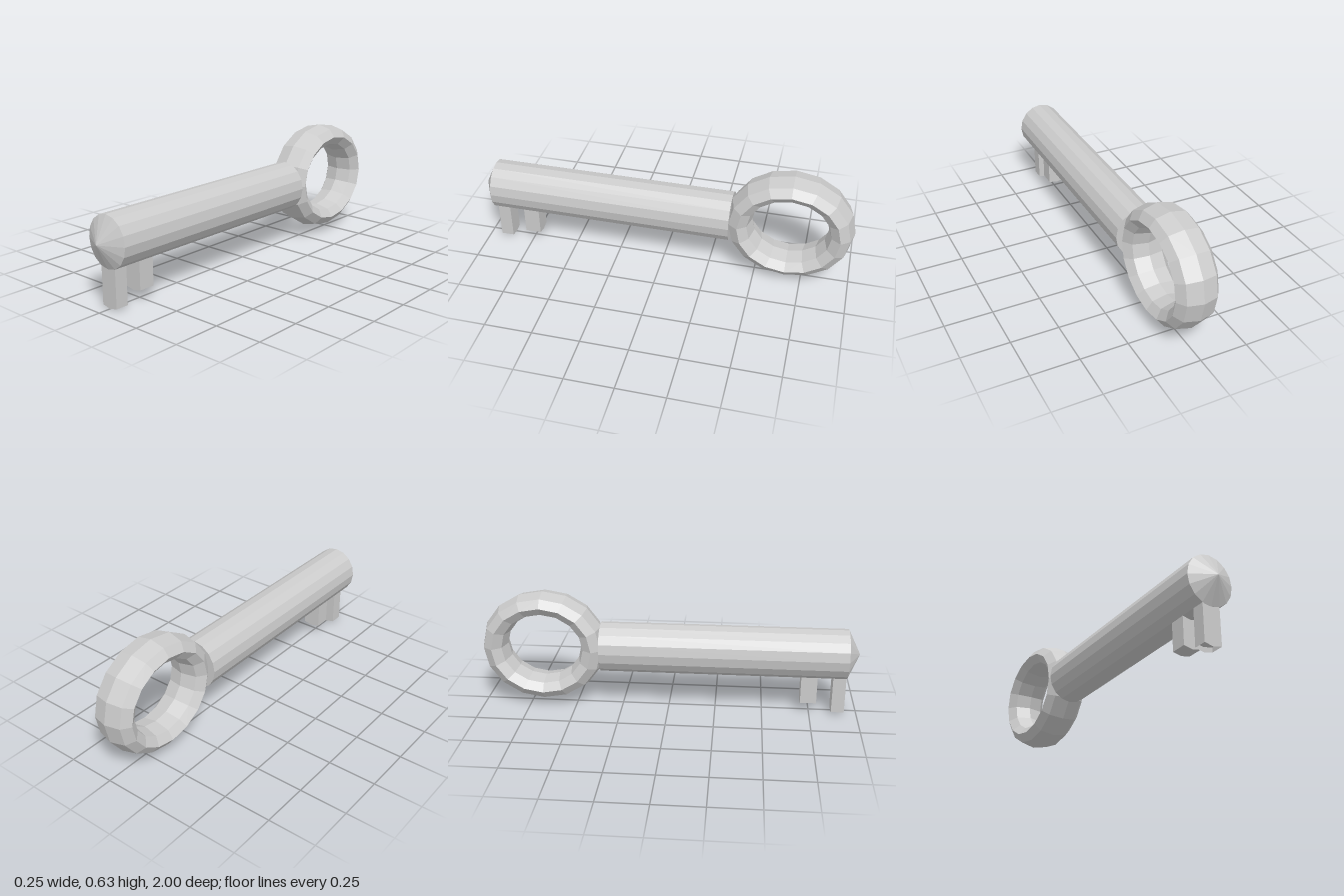
import * as THREE from 'three';

const AXIS_Y = 0.33;
const HALF_W = 0.047; // half width of the teeth
const V_DROP = 0.01;  // depth of the shallow V on their lower ends

function makeMaterial(side = THREE.FrontSide) {
  return new THREE.MeshStandardMaterial({ color: 0xcccccc, flatShading: true, side });
}

function addMesh(parent, name, geometry, material) {
  const mesh = new THREE.Mesh(geometry, material);
  mesh.name = name;
  parent.add(mesh);
  return mesh;
}

// Upright strip with a shallow V along its lower edge
function vShape(bottom, top) {
  return new THREE.Shape([
    new THREE.Vector2(0, bottom),
    new THREE.Vector2(HALF_W, bottom + V_DROP),
    new THREE.Vector2(HALF_W, top),
    new THREE.Vector2(-HALF_W, top),
    new THREE.Vector2(-HALF_W, bottom + V_DROP),
  ]);
}

function toothGeometry(bottom, zBack, zFront) {
  return new THREE.ExtrudeGeometry(vShape(bottom, 0.23), {
    depth: zFront - zBack, bevelEnabled: false,
  }).translate(0, 0, zBack);
}

export function createModel() {
  const key = new THREE.Group();
  key.name = 'key';
  const solid = makeMaterial();
  const thin = makeMaterial(THREE.DoubleSide);

  // Shaft: slightly oval 16-sided rod
  const zBack = -0.362, zFront = 0.936;
  const shaft = new THREE.CylinderGeometry(0.124, 0.124, zFront - zBack, 16)
    .rotateX(Math.PI / 2)
    .scale(1, 1.07, 1)
    .translate(0, 0.328, (zFront + zBack) / 2);
  addMesh(key, 'shaft', shaft, solid);

  // Pointed tip
  const tip = new THREE.ConeGeometry(0.124, 1 - zFront, 16, 1, true)
    .rotateX(Math.PI / 2)
    .scale(1, 1.07, 1)
    .translate(0, 0.328, (1 + zFront) / 2);
  addMesh(key, 'tip', tip, solid);

  // Ring handle: torus widened sideways and stretched lengthwise
  const ring = new THREE.TorusGeometry(0.237, 0.06, 8, 16)
    .rotateY(Math.PI / 2)
    .scale(1.867, 1, 1.118)
    .translate(0, AXIS_Y, -0.668);
  addMesh(key, 'ringHandle', ring, solid);

  // Rear tooth
  addMesh(key, 'rearTooth', toothGeometry(0.048, 0.701, 0.786), solid);

  // Front tooth: solid core with a thin skirt around its recessed lower end
  const z0 = 0.867, z1 = 0.935, recess = 0.025;
  const frontTooth = new THREE.Group();
  frontTooth.name = 'frontTooth';
  key.add(frontTooth);
  addMesh(frontTooth, 'toothCore', toothGeometry(recess, z0, z1), solid);
  for (const z of [z0, z1]) {
    const skirt = new THREE.ShapeGeometry(vShape(0, recess + V_DROP)).translate(0, 0, z);
    addMesh(frontTooth, 'toothSkirt', skirt, thin);
  }
  for (const s of [-1, 1]) {
    const wall = new THREE.PlaneGeometry(z1 - z0, recess)
      .rotateY(s * Math.PI / 2)
      .translate(s * HALF_W, V_DROP + recess / 2, (z0 + z1) / 2);
    addMesh(frontTooth, 'toothSkirt', wall, thin);
  }

  return key;
}
